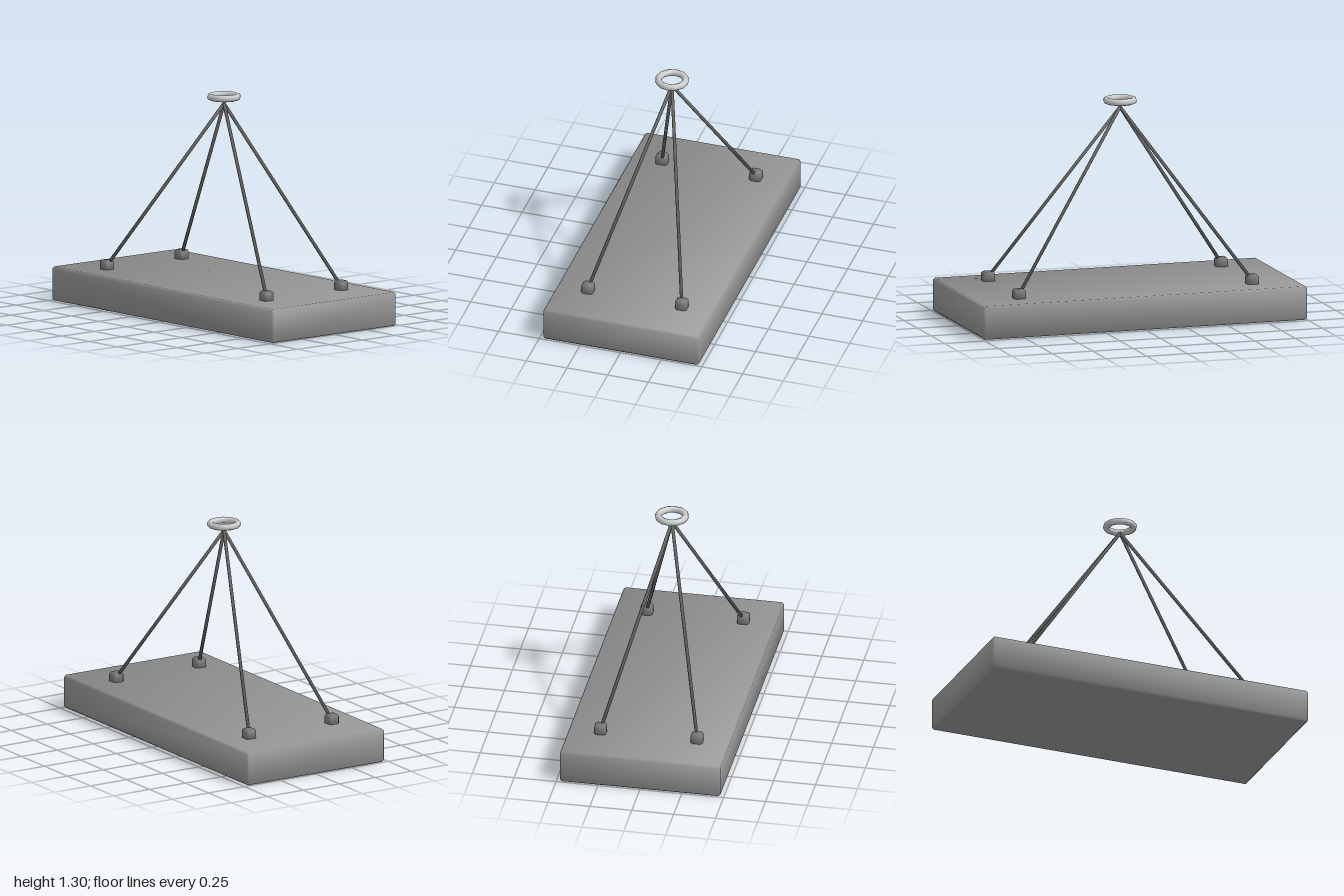
import * as THREE from 'three';
import { ConvexGeometry } from 'three/addons/geometries/ConvexGeometry.js';

const paint = (color) => new THREE.MeshStandardMaterial({ color });
const stone = paint(0x959595);
const lugMetal = paint(0x767676);
const cableMetal = paint(0x646464);
const ringMetal = paint(0xcccccc);

// Replace every normal by a rule that depends on the vertex position
function setNormals(geometry, rule) {
  const { position, normal } = geometry.attributes;
  const p = new THREE.Vector3();
  for (let i = 0; i < position.count; i++) {
    const n = rule(p.fromBufferAttribute(position, i)).normalize();
    normal.setXYZ(i, n.x, n.y, n.z);
  }
  return geometry;
}

// Box with one chamfer along every edge, shaded smoothly across the chamfers
function chamferBox(w, h, d, b) {
  const half = [w / 2, h / 2, d / 2];
  const points = [];
  for (const sx of [-1, 1]) for (const sy of [-1, 1]) for (const sz of [-1, 1]) {
    for (let face = 0; face < 3; face++) {
      const p = half.map((v, axis) => (axis === face ? v : v - b));
      points.push(new THREE.Vector3(sx * p[0], sy * p[1], sz * p[2]));
    }
  }
  // Each corner leans mostly along its own face and partly to the two others
  const lean = (v, limit) => Math.sign(v) * (Math.abs(v) > limit - b / 2 ? 1 : 0.39);
  return setNormals(new ConvexGeometry(points), (p) =>
    new THREE.Vector3(lean(p.x, half[0]), lean(p.y, half[1]), lean(p.z, half[2])));
}

// Cylinder between two points, shaded smoothly over its end caps
function rod(from, to, radius) {
  const dir = to.clone().sub(from);
  const geometry = setNormals(
    new THREE.CylinderGeometry(radius, radius, dir.length(), 8), (p) =>
      new THREE.Vector3(p.x / radius, 0.75 * Math.sign(p.y), p.z / radius));
  geometry.applyQuaternion(
    new THREE.Quaternion().setFromUnitVectors(new THREE.Vector3(0, 1, 0), dir.normalize()));
  const mid = from.clone().add(to).multiplyScalar(0.5);
  return geometry.translate(mid.x, mid.y, mid.z);
}

export function createModel() {
  const model = new THREE.Group();
  model.name = 'hangingSlab';
  const add = (name, geometry, material, x = 0, y = 0, z = 0) => {
    const mesh = new THREE.Mesh(geometry, material);
    mesh.name = name;
    mesh.position.set(x, y, z);
    model.add(mesh);
  };

  // Heavy slab
  add('slab', chamferBox(2, 0.2, 0.957, 0.012), stone, 0, 0.1, 0);

  // Four lugs, each with a cable up to the common apex
  const apex = new THREE.Vector3(0, 1.245, 0);
  const lugGeometry = chamferBox(0.07, 0.07, 0.07, 0.012);
  for (const [sx, xName] of [[1, 'Left'], [-1, 'Right']]) {
    for (const [sz, zName] of [[1, 'front'], [-1, 'back']]) {
      const foot = new THREE.Vector3(sx * 0.72, 0.22, sz * 0.288);
      add(`${zName}${xName}Lug`, lugGeometry, lugMetal, foot.x, foot.y, foot.z);
      add(`${zName}${xName}Cable`, rod(foot, apex, 0.01), cableMetal);
    }
  }

  // Lifting ring lying flat above the apex
  const ring = new THREE.TorusGeometry(0.081, 0.02, 8, 12).rotateX(Math.PI / 2);
  add('liftingRing', ring, ringMetal, 0, 1.285, 0);

  return model;
}
